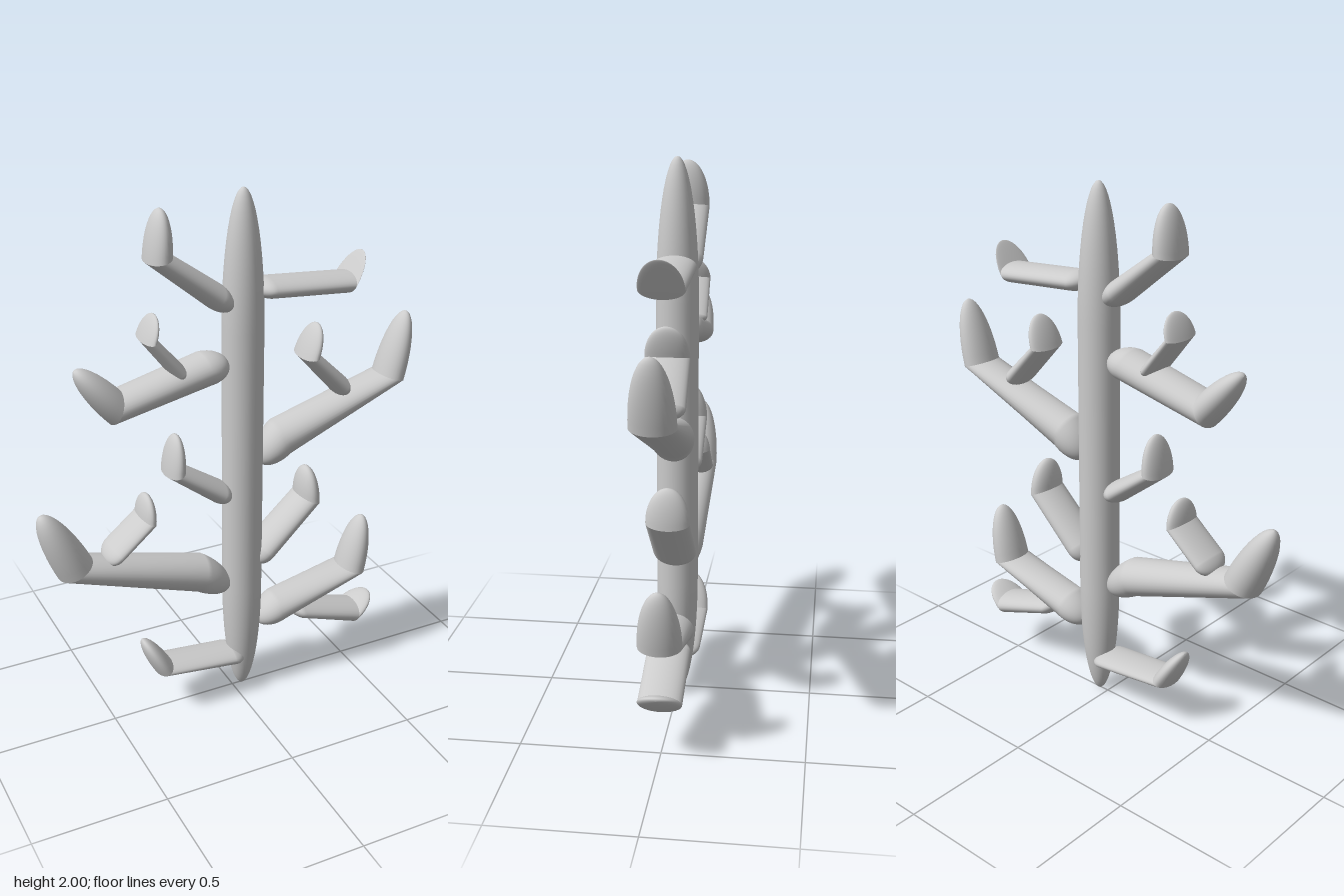
import * as THREE from 'three';

const DEPTH = 0.078; // every limb has the same half depth in z
const SIDES = 32;
const material = new THREE.MeshStandardMaterial({ color: 0xcccccc });
const V = (p) => new THREE.Vector2(p[0], p[1]);

// Skin elliptical rings: c = centre, h = in-plane half axis, d = half depth
function loft(rings, name) {
  const pos = [], index = [];
  rings.forEach(({ c, h, d }, i) => {
    for (let j = 0; j < SIDES; j++) {
      const a = (j / SIDES) * Math.PI * 2;
      pos.push(c.x + h.x * Math.cos(a), c.y + h.y * Math.cos(a), d * Math.sin(a));
      if (i === 0) continue;
      const k = (j + 1) % SIDES, lo = (i - 1) * SIDES, hi = i * SIDES;
      index.push(lo + j, lo + k, hi + j, lo + k, hi + k, hi + j);
    }
  });
  const g = new THREE.BufferGeometry();
  g.setAttribute('position', new THREE.Float32BufferAttribute(pos, 3));
  g.setIndex(index);
  g.computeVertexNormals();
  const mesh = new THREE.Mesh(g, material);
  mesh.name = name;
  return mesh;
}

// Half ellipsoid rings running from the ring (c, h) to the point end
function dome(c, h, end, steps = 12) {
  return Array.from({ length: steps + 1 }, (_, i) => {
    const t = (i / steps) * Math.PI / 2, s = Math.max(Math.cos(t), 1e-4);
    return { c: c.clone().lerp(end, Math.sin(t)), h: h.clone().multiplyScalar(s), d: DEPTH * s };
  });
}

// A bent limb: rounded root, straight arm, mitred elbow, pointed tip
function limb([root, base, half, outer, inner, tip], name) {
  const [S, C, P, Q, T] = [root, base, outer, inner, tip].map(V);
  const E = P.clone().add(Q).multiplyScalar(0.5);
  const dir = E.clone().sub(C).normalize();
  const side = new THREE.Vector2(-dir.y, dir.x);
  const mitre = Q.clone().sub(P).multiplyScalar(0.5);
  if (mitre.dot(side) < 0) mitre.negate();

  const arm = dome(C, side.multiplyScalar(half), S).reverse();
  arm.push({ c: E, h: mitre, d: DEPTH });
  const group = new THREE.Group();
  group.name = name;
  group.add(loft(arm, name + 'Arm'), loft(dome(E, mitre, T), name + 'Tip'));
  return group;
}

// root point, start of straight arm, half width, elbow outer, elbow inner, tip
const branches = [
  [[-0.01, 1.59], [-0.07, 1.64], 0.045, [-0.32, 1.79], [-0.23, 1.81], [-0.265, 1.965]],
  [[0.08, 1.645], [0.135, 1.64], 0.036, [0.43, 1.58], [0.46, 1.65], [0.51, 1.715]],
  [[-0.02, 1.39], [-0.11, 1.38], 0.06, [-0.47, 1.245], [-0.425, 1.36], [-0.585, 1.45]],
  [[0.10, 0.98], [0.195, 1.055], 0.072, [0.70, 1.205], [0.60, 1.235], [0.715, 1.46]],
  [[-0.02, 0.86], [-0.065, 0.89], 0.04, [-0.27, 1.0], [-0.2, 1.025], [-0.225, 1.15]],
  [[-0.015, 0.48], [-0.14, 0.56], 0.072, [-0.685, 0.68], [-0.56, 0.74], [-0.735, 0.945]],
  [[0.08, 0.555], [0.125, 0.605], 0.047, [0.352, 0.765], [0.272, 0.797], [0.315, 0.907]],
  [[0.10, 0.28], [0.195, 0.325], 0.06, [0.57, 0.4], [0.468, 0.43], [0.57, 0.632]],
  [[0.04, 0.145], [-0.02, 0.16], 0.032, [-0.33, 0.172], [-0.267, 0.21], [-0.373, 0.32]],
];
const twigs = [
  [[-0.205, 1.375], [-0.22, 1.40], 0.027, [-0.345, 1.52], [-0.30, 1.535], [-0.295, 1.61]],
  [[0.455, 1.19], [0.43, 1.225], 0.035, [0.267, 1.355], [0.33, 1.37], [0.335, 1.475]],
  [[-0.51, 0.705], [-0.47, 0.745], 0.03, [-0.32, 0.835], [-0.375, 0.86], [-0.337, 0.94]],
  [[0.24, 0.31], [0.29, 0.285], 0.033, [0.515, 0.167], [0.545, 0.245], [0.615, 0.26]],
];

export function createModel() {
  const model = new THREE.Group();
  model.name = 'branchingStem';

  // Trunk: a round bar with long rounded points at both ends
  const profile = [], R = 0.075, N = 14;
  for (let i = 0; i <= N; i++) {
    const t = (i / N) * Math.PI / 2;
    profile.push(new THREE.Vector2(R * Math.sin(t), 0.46 * (1 - Math.cos(t))));
  }
  for (let i = 0; i <= N; i++) {
    const t = (i / N) * Math.PI / 2;
    profile.push(new THREE.Vector2(R * Math.cos(t), 1.5 + 0.5 * Math.sin(t)));
  }
  const trunk = new THREE.Mesh(new THREE.LatheGeometry(profile, SIDES), material);
  trunk.name = 'trunk';
  trunk.position.x = 0.04;
  model.add(trunk);

  branches.forEach((b, i) => model.add(limb(b, 'branch' + (i + 1))));
  twigs.forEach((t, i) => model.add(limb(t, 'twig' + (i + 1))));
  return model;
}
